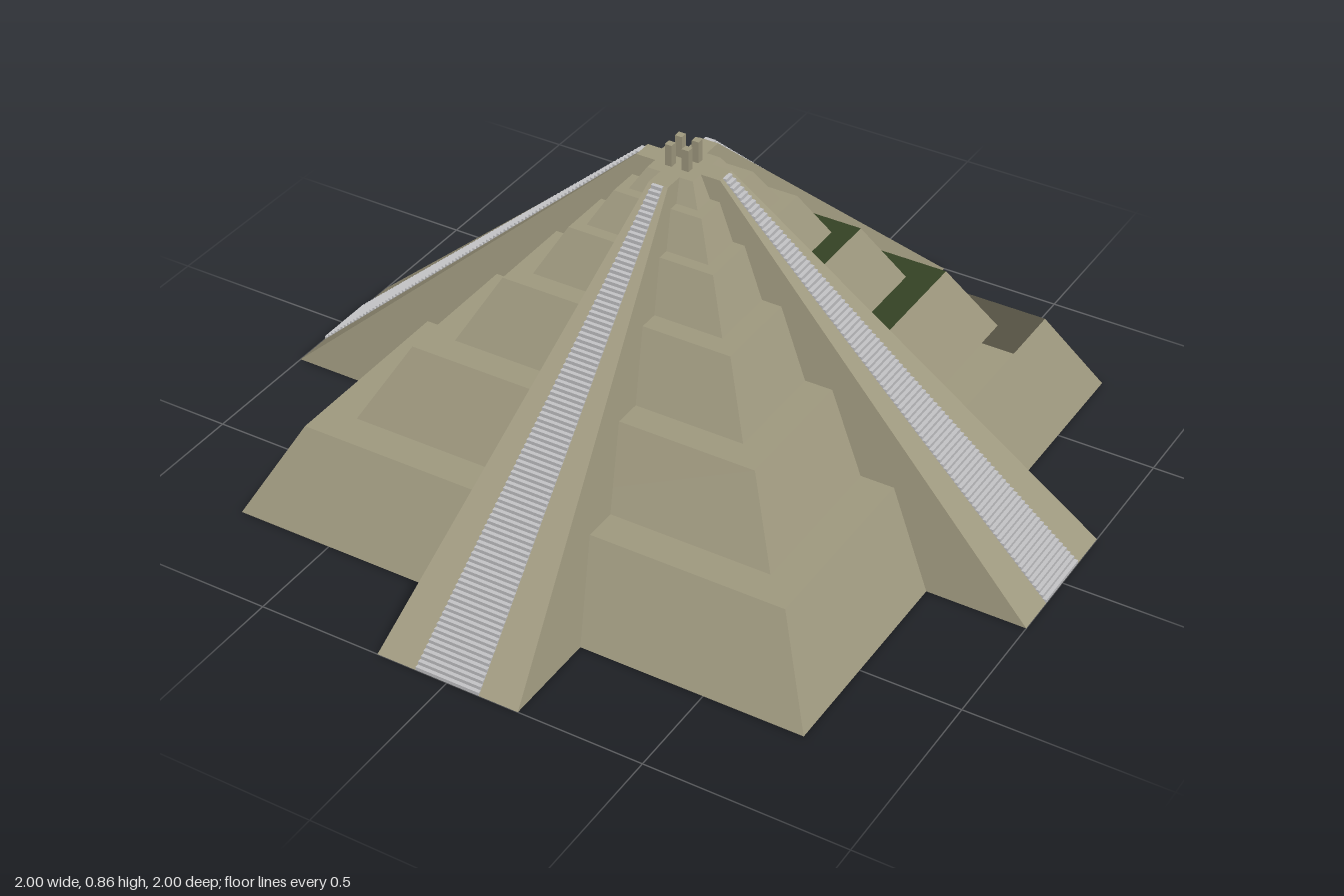
import * as THREE from 'three';
import { mergeGeometries } from 'three/addons/utils/BufferGeometryUtils.js';

const mat = (name, color) => {
  const m = new THREE.MeshStandardMaterial({ color, side: THREE.DoubleSide });
  m.name = name;
  return m;
};

// Four-cornered flat face, corners anticlockwise from outside
function quad(a, b, c, d) {
  const g = new THREE.BufferGeometry();
  g.setAttribute('position', new THREE.Float32BufferAttribute([a, b, c, a, c, d].flat(), 3));
  g.computeVertexNormals();
  return g;
}

// Tiers: bottom y, top y, bottom half width, top half width
const TIERS = [
  [0, 0.22, 0.75, 0.635],
  [0.22, 0.4, 0.55, 0.452],
  [0.4, 0.555, 0.382, 0.3],
  [0.555, 0.668, 0.25, 0.19],
  [0.668, 0.75, 0.16, 0.115],
  [0.75, 0.8, 0.09, 0.06],
];
const TOP = 0.8, RAMP_FOOT = 1, RAMP_HEAD = 0.11;
const FOOT_W = 0.185, HEAD_W = 0.025;

export function createModel() {
  const model = new THREE.Group();
  model.name = 'steppedPyramid';
  const stone = mat('stone', 0x9f997f);
  const stairGrey = mat('stair grey', 0xc3c3c5);
  const grass = mat('grass green', 0x344224);

  const add = (name, parts, material) => {
    if (!parts.length) return;
    const mesh = new THREE.Mesh(mergeGeometries(parts), material);
    mesh.name = name;
    model.add(mesh);
  };

  // Tiers: each side is built as two halves, turned round the y axis
  TIERS.forEach(([y0, y1, b, t], i) => {
    const stoneParts = [], grassParts = [];
    const inner = i < 5 ? TIERS[i + 1][2] : 0;
    for (let side = 0; side < 4; side++) {
      for (const s of [1, -1]) {
        const face = (yA, hA, yB, hB) => {
          const p = [[0, yA, hA], [s * hA, yA, hA], [s * hB, yB, hB], [0, yB, hB]];
          if (s < 0) p.reverse();
          return quad(...p).rotateY(side * Math.PI / 2);
        };
        const overgrown = side === 2 && s === 1 && i < 3;
        const backCorner = (side === 2 && s === -1) || (side === 1 && s === 1);
        (overgrown ? grassParts : stoneParts).push(face(y0, b, y1, t));
        // The lowest terrace is open at one back corner, the next two are planted
        if (backCorner && i === 0) continue;
        const planted = overgrown || (backCorner && i < 3);
        (planted ? grassParts : stoneParts).push(face(y1, t, y1, inner));
      }
    }
    add('tier' + (i + 1), stoneParts, stone);
    add('tierGrass' + (i + 1), grassParts, grass);
  });

  // Ramps with fine stairs on all four sides
  const STEPS = 91;
  const ramp = [
    quad([-FOOT_W, 0, RAMP_FOOT], [FOOT_W, 0, RAMP_FOOT], [HEAD_W, TOP, RAMP_HEAD], [-HEAD_W, TOP, RAMP_HEAD]),
    quad([-HEAD_W, TOP, RAMP_HEAD], [HEAD_W, TOP, RAMP_HEAD], [HEAD_W, TOP, 0], [-HEAD_W, TOP, 0]),
    quad([FOOT_W, 0, RAMP_FOOT], [FOOT_W, 0, 0.65], [HEAD_W, TOP, 0.04], [HEAD_W, TOP, RAMP_HEAD]),
    quad([-FOOT_W, 0, 0.65], [-FOOT_W, 0, RAMP_FOOT], [-HEAD_W, TOP, RAMP_HEAD], [-HEAD_W, TOP, 0.04]),
  ];
  const steps = [];
  const rise = TOP / STEPS, run = (RAMP_FOOT - RAMP_HEAD) / STEPS;
  for (let i = 0; i < STEPS; i++) {
    const width = 2 * THREE.MathUtils.lerp(0.083, 0.013, i / STEPS);
    steps.push(new THREE.BoxGeometry(width, rise, run)
      .translate(0, (i + 0.5) * rise, RAMP_FOOT - (i + 0.5) * run));
  }
  ['front', 'left', 'back', 'right'].forEach((name, side) => {
    const turn = (g) => g.clone().rotateY(side * Math.PI / 2);
    add(name + 'Ramp', ramp.map(turn), stone);
    add(name + 'Stairs', steps.map(turn), stairGrey);
  });

  // Four short posts on the summit
  const posts = [];
  for (const x of [-0.022, 0.022]) {
    for (const z of [-0.022, 0.022]) {
      posts.push(new THREE.BoxGeometry(0.018, 0.055, 0.018).translate(x, TOP + 0.0275, z));
    }
  }
  add('summitPosts', posts, stone);

  // Floor, cross-shaped with one open corner
  const outline = [
    [0.185, 1], [0.185, 0], [0.75, 0], [0.75, 0.185], [1, 0.185], [1, -0.185], [0.75, -0.185],
    [0.75, -0.75], [0.185, -0.75], [0.185, -1], [-0.185, -1], [-0.185, -0.75], [-0.75, -0.75],
    [-0.75, -0.185], [-1, -0.185], [-1, 0.185], [-0.75, 0.185], [-0.75, 0.75], [-0.185, 0.75], [-0.185, 1],
  ].map(([x, z]) => new THREE.Vector2(x, z));
  add('floor', [new THREE.ShapeGeometry(new THREE.Shape(outline)).rotateX(Math.PI / 2)], stone);

  return model;
}
